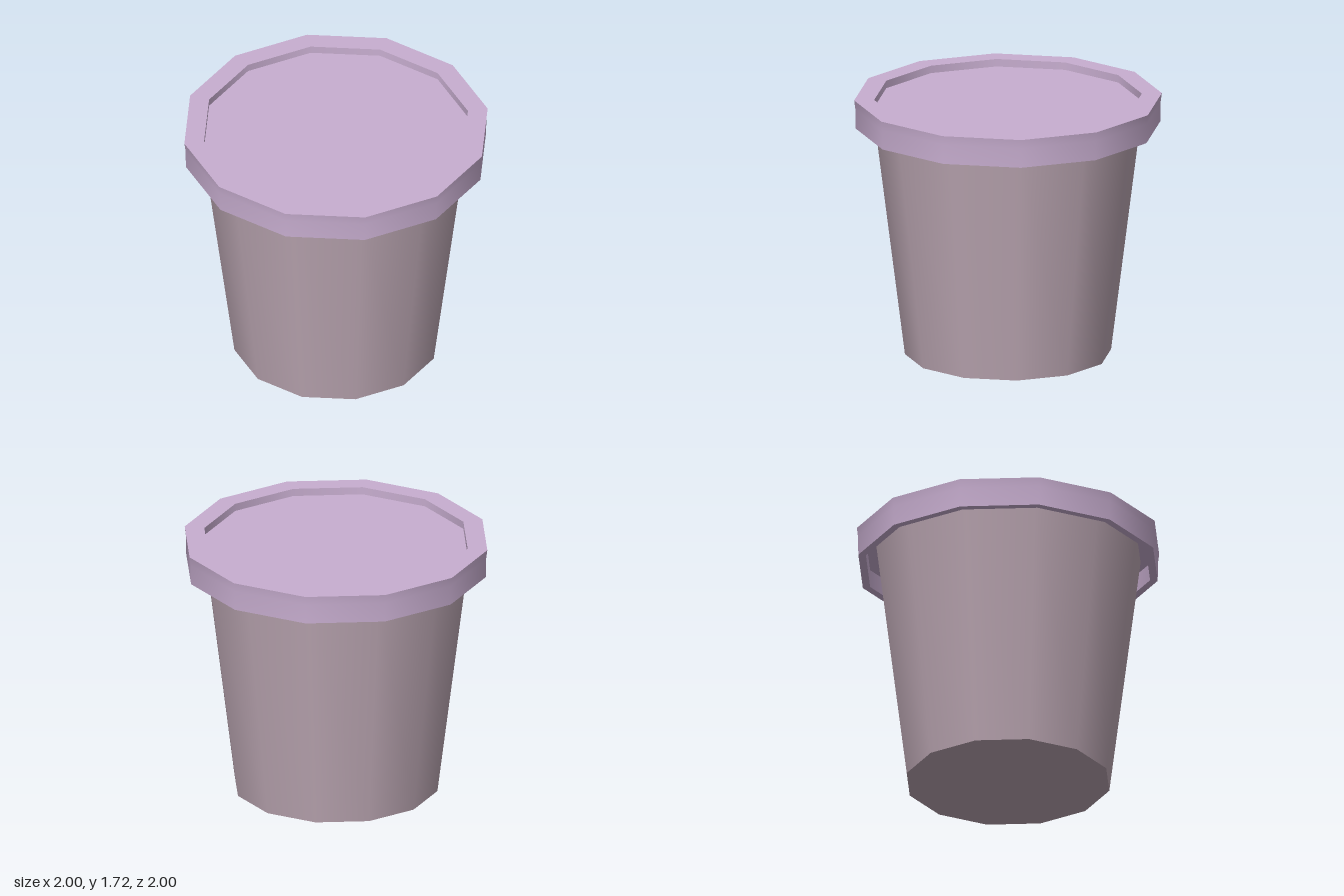
import * as THREE from 'three';
import { mergeGeometries } from 'three/addons/utils/BufferGeometryUtils.js';

const SIDES = 12;

// Revolves each profile strip separately: smooth around, sharp between strips.
// Strips run counter-clockwise in (radius, height) so faces point outward.
function turned(name, color, strips) {
  const parts = strips.map((strip) =>
    new THREE.LatheGeometry(strip.map(([r, y]) => new THREE.Vector2(r, y)), SIDES));
  const mesh = new THREE.Mesh(
    mergeGeometries(parts),
    new THREE.MeshStandardMaterial({ color, side: THREE.DoubleSide }));
  mesh.name = name;
  return mesh;
}

export function createModel() {
  const model = new THREE.Group();
  model.name = 'lidded cup';

  // Tapered cup, its top tucked up inside the lid
  model.add(turned('cup', 0xbba6b2, [
    [[0, 0], [0.67, 0]],
    [[0.67, 0], [0.877, 1.65]],
  ]));

  // Lid with a raised rim, a sunken centre and a hollow skirt
  model.add(turned('lid', 0xc8aed0, [
    [[0.94, 1.53], [0.99, 1.53]],               // skirt edge
    [[0.99, 1.53], [0.992, 1.66], [1, 1.72]],   // outer wall
    [[1, 1.72], [0.87, 1.72]],                  // rim top
    [[0.87, 1.72], [0.87, 1.67]],               // recess wall
    [[0.87, 1.67], [0, 1.67]],                  // centre disc
    [[0.86, 1.65], [0.94, 1.65]],               // underside
    [[0.94, 1.65], [0.94, 1.53]],               // skirt inside
  ]));

  return model;
}
